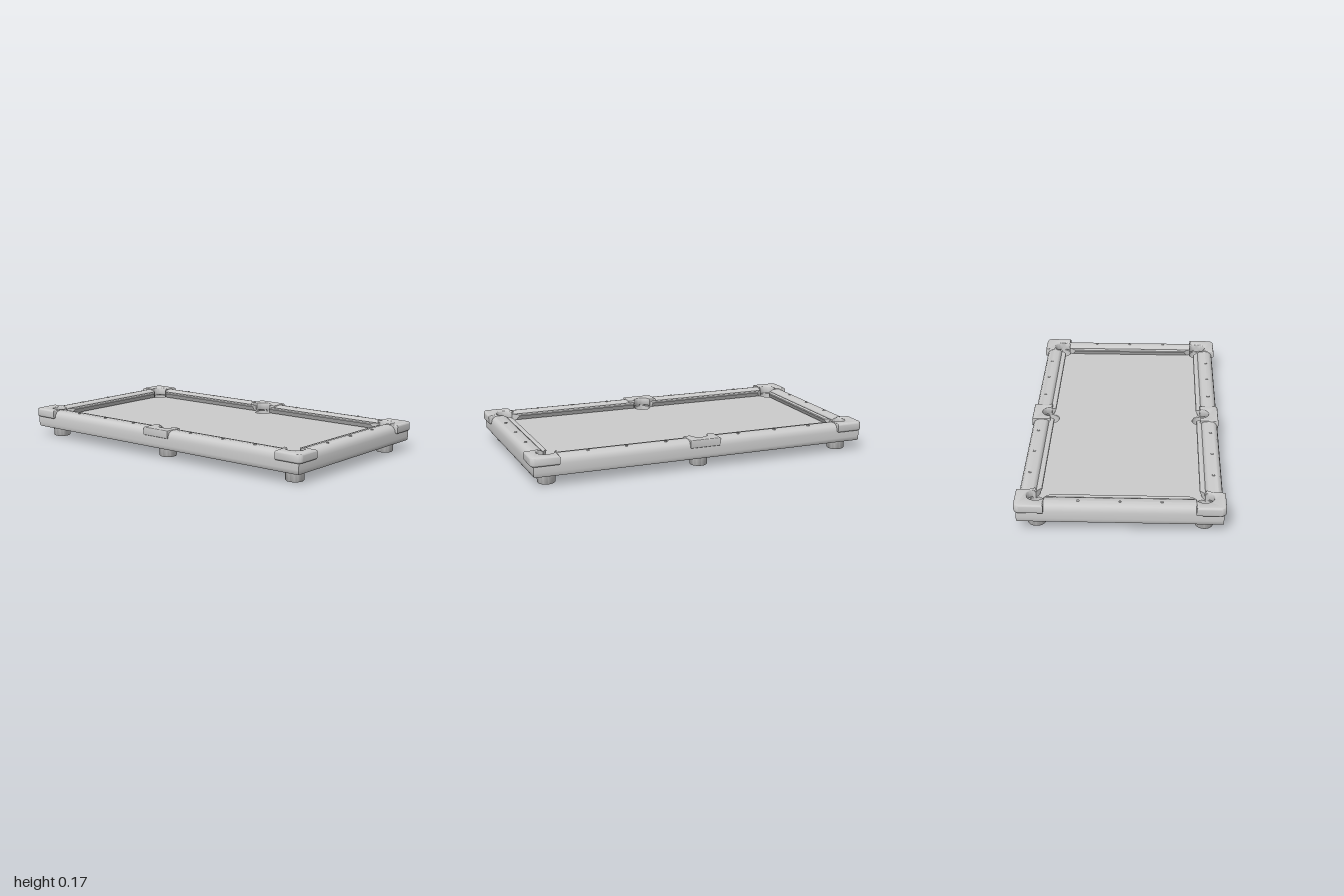
import * as THREE from 'three';
import { toCreasedNormals } from 'three/addons/utils/BufferGeometryUtils.js';

const HX = 0.545, HZ = 0.985;   // outer half sizes of the rail frame
const PX = 0.445, PZ = 0.89, PR = 0.05; // pocket centres and radius
const material = new THREE.MeshStandardMaterial({ color: 0xcccccc });

function add(group, geometry, name) {
  const mesh = new THREE.Mesh(geometry, material);
  mesh.name = name;
  group.add(mesh);
  return mesh;
}

const shapeOf = pts => new THREE.Shape(pts.map(p => new THREE.Vector2(p[0], p[1])));

// Points on a circle, angles in degrees
function arc(cx, cz, r, from, to, n) {
  return Array.from({ length: n + 1 }, (_, i) => {
    const a = THREE.MathUtils.degToRad(from + (to - from) * i / n);
    return [cx + r * Math.cos(a), cz + r * Math.sin(a)];
  });
}

// Plan outline (x, z) extruded downwards from a top height
function plate(shape, top, thickness, bevel = 0) {
  const geo = new THREE.ExtrudeGeometry(shape, {
    depth: thickness - 2 * bevel, bevelEnabled: bevel > 0, bevelSize: bevel,
    bevelThickness: bevel, bevelOffset: -bevel, bevelSegments: 4, curveSegments: 24
  });
  geo.rotateX(Math.PI / 2).translate(0, top - bevel, 0);
  return toCreasedNormals(geo, 0.7);
}

// Closed profile (inset, y) swept round the rectangle with mitred corners
function mitredRing(profile) {
  const corners = [[1, 1], [1, -1], [-1, -1], [-1, 1]];
  const n = profile.length, pos = [], idx = [];
  for (const [sx, sz] of corners)
    for (const [d, y] of profile) pos.push(sx * (HX - d), y, sz * (HZ - d));
  for (let c = 0; c < 4; c++)
    for (let i = 0; i < n; i++) {
      const j = (i + 1) % n, e = (c + 1) % 4;
      const a = c * n + i, b = e * n + i, f = e * n + j, g = c * n + j;
      idx.push(a, b, f, a, f, g);
    }
  const geo = new THREE.BufferGeometry();
  geo.setAttribute('position', new THREE.Float32BufferAttribute(pos, 3));
  geo.setIndex(idx);
  return toCreasedNormals(geo, 0.75);
}

// Straight bar of profile (inset, y) from z = a to b; ends slant inwards by cutA, cutB
function bar(profile, a, b, cutA = 0, cutB = 0) {
  const geo = new THREE.ExtrudeGeometry(shapeOf(profile), { depth: b - a, bevelEnabled: false });
  const p = geo.attributes.position;
  for (let i = 0; i < p.count; i++) {
    const t = (p.getX(i) - 0.095) / 0.03;
    p.setZ(i, p.getZ(i) < (b - a) / 2 ? a + cutA * t : b - cutB * t);
  }
  return toCreasedNormals(geo, 0.75);
}

export function createModel() {
  const model = new THREE.Group();
  model.name = 'poolTable';

  // Bed with six pocket holes
  const bed = shapeOf([[-0.5, -0.945], [0.5, -0.945], [0.5, 0.945], [-0.5, 0.945]]);
  for (const sx of [-1, 1]) for (const z of [-PZ, 0, PZ]) {
    const hole = new THREE.Path();
    hole.absarc(sx * PX, z, PR - 0.001, 0, Math.PI * 2, true);
    bed.holes.push(hole);
  }
  add(model, plate(bed, 0.12, 0.054), 'bed');

  // Continuous outer part of the rails
  add(model, mitredRing([
    [0.005, 0.06], [0.001, 0.066], [0, 0.085], [0, 0.125], [0.004, 0.142],
    [0.012, 0.156], [0.026, 0.165], [0.046, 0.168], [0.046, 0.06]
  ]), 'outerRail');

  // Inner rails and cushions between the pockets
  const railProfile = [[0.046, 0.06], [0.095, 0.06], [0.095, 0.15], [0.09, 0.16],
    [0.076, 0.166], [0.046, 0.168]];
  const cushionProfile = [[0.095, 0.12], [0.112, 0.124], [0.122, 0.145], [0.125, 0.15],
    [0.122, 0.155], [0.104, 0.159], [0.095, 0.155]];
  const sides = [
    { name: 'rightSide', pos: [-HX, 0, 0], turn: 0, long: true },
    { name: 'leftSide', pos: [HX, 0, 0], turn: Math.PI, long: true },
    { name: 'frontEnd', pos: [0, 0, HZ], turn: Math.PI / 2 },
    { name: 'backEnd', pos: [0, 0, -HZ], turn: -Math.PI / 2 }
  ];
  for (const s of sides) {
    const side = new THREE.Group();
    side.name = s.name;
    side.position.set(...s.pos);
    side.rotation.y = s.turn;
    const spans = s.long
      ? [[0.052, 0.845, 0.012, 0.04], [-0.845, -0.052, 0.04, 0.012]]
      : [[-0.4, 0.4, 0.04, 0.04]];
    for (const [a, b, cutA, cutB] of spans) {
      add(side, bar(railProfile, a, b), 'innerRail');
      add(side, bar(cushionProfile, a, b, cutA, cutB), 'cushion');
    }
    // Sight studs along the rail top
    const studs = s.long ? [-0.67, -0.45, -0.22, 0.22, 0.45, 0.67] : [-0.22, 0, 0.22];
    for (const z of studs)
      add(side, new THREE.CylinderGeometry(0.008, 0.009, 0.006, 16), 'sightStud')
        .position.set(0.046, 0.168, z);
    model.add(side);
  }

  // Pocket covers, with a notch open towards the bed
  const cornerOutline = [
    [0.4, 1], ...arc(0.527, 0.97, 0.03, 90, 0, 6), [0.557, 0.84],
    ...arc(PX, PZ, PR, -89, 154, 24)
  ];
  const sideOutline = [
    [0.443, 0.09], [0.55, 0.09], [0.55, -0.09], [0.443, -0.09],
    ...arc(PX, 0, PR, -90, 90, 18)
  ];
  for (const sx of [-1, 1]) {
    const sidePts = sideOutline.map(([x, z]) => [sx * x, z]);
    add(model, plate(shapeOf(sidePts), 0.171, 0.046, 0.005), 'sidePocketCover');
    for (const sz of [-1, 1]) {
      const pts = cornerOutline.map(([x, z]) => [sx * x, sz * z]);
      add(model, plate(shapeOf(pts), 0.172, 0.052, 0.011), 'cornerPocketCover');
    }
  }

  // Pocket cups, which are also the feet
  const cup = toCreasedNormals(new THREE.LatheGeometry([
    [0, 0], [0.046, 0], [0.05, 0.005], [0.051, 0.118], [0.047, 0.119],
    [0.047, 0.04], [0.042, 0.024], [0.03, 0.014], [0, 0.01]
  ].map(p => new THREE.Vector2(...p)), 32), 0.8);
  for (const sx of [-1, 1]) for (const z of [-PZ, 0, PZ])
    add(model, cup, 'pocketCup').position.set(sx * PX, 0, z);

  return model;
}
